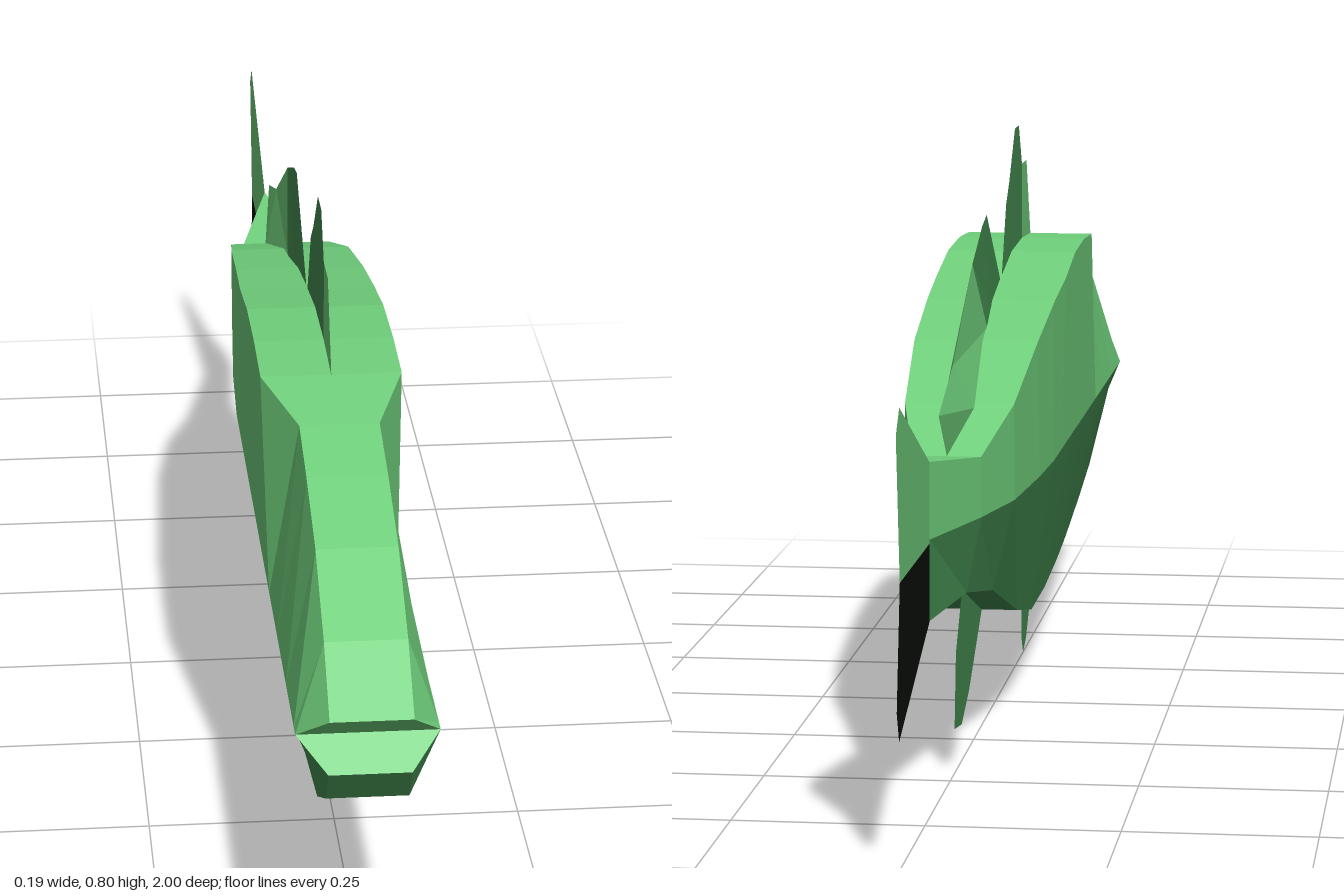
import * as THREE from 'three';

const lightGreen = new THREE.MeshStandardMaterial({ name: 'lightGreen', color: 0x70d07c, flatShading: true, side: THREE.DoubleSide });
const darkGreen = new THREE.MeshStandardMaterial({ name: 'darkGreen', color: 0x458e51, flatShading: true, side: THREE.DoubleSide });
const black = new THREE.MeshStandardMaterial({ name: 'black', color: 0x0b100c, flatShading: true, side: THREE.DoubleSide });

// Body sections, nose to tail: top z, y, half width; middle z, half width; bottom z, y, half width
const sections = [
  [1.0, 0.40, 0.052, 0.95, 0.09, 0.985, 0.32, 0.052],
  [0.92, 0.47, 0.052, 0.93, 0.09, 0.95, 0.27, 0.052],
  [0.80, 0.54, 0.052, 0.81, 0.09, 0.83, 0.21, 0.052],
  [0.67, 0.58, 0.052, 0.67, 0.09, 0.67, 0.185, 0.052],
  [0.56, 0.605, 0.052, 0.54, 0.09, 0.52, 0.165, 0.052],
  [0.44, 0.625, 0.093, 0.44, 0.09, 0.44, 0.155, 0.052],
  [0.33, 0.63, 0.093, 0.33, 0.09, 0.33, 0.145, 0.052],
  [0.20, 0.625, 0.093, 0.19, 0.09, 0.17, 0.135, 0.052],
  [0.07, 0.603, 0.093, 0.05, 0.09, 0.0, 0.135, 0.052],
  [-0.05, 0.585, 0.09, -0.06, 0.09, -0.08, 0.15, 0.052],
  [-0.22, 0.55, 0.085, -0.2, 0.085, -0.16, 0.165, 0.05],
  [-0.40, 0.49, 0.073, -0.39, 0.073, -0.38, 0.235, 0.042],
  [-0.53, 0.44, 0.045, -0.53, 0.045, -0.53, 0.26, 0.026],
  [-0.70, 0.46, 0, -0.70, 0, -0.70, 0.255, 0],
];
const MID_Y = 0.36;

// Six corners of a section, running down the left side and up the right
function ring([zt, yt, wt, zm, wm, zb, yb, wb]) {
  return [[wt, yt, zt], [wm, MID_Y, zm], [wb, yb, zb], [-wb, yb, zb], [-wm, MID_Y, zm], [-wt, yt, zt]];
}

// Mesh from four-cornered faces
function quadMesh(name, quads, material) {
  const positions = quads.flatMap(([a, b, c, d]) => [a, b, c, a, c, d].flat());
  const geometry = new THREE.BufferGeometry();
  geometry.setAttribute('position', new THREE.Float32BufferAttribute(positions, 3));
  geometry.computeVertexNormals();
  const mesh = new THREE.Mesh(geometry, material);
  mesh.name = name;
  return mesh;
}

// Flat fin on the centre plane, outlined by [z, y] points
function fin(name, outline, material) {
  const shape = new THREE.Shape(outline.map(([z, y]) => new THREE.Vector2(-z, y)));
  const mesh = new THREE.Mesh(new THREE.ShapeGeometry(shape).rotateY(Math.PI / 2), material);
  mesh.name = name;
  return mesh;
}

// Fin with a wider root: stations are root z, y, half width, then edge z, y
function thickFin(name, stations, material) {
  const quads = [];
  for (let i = 0; i < stations.length - 1; i++) {
    const [z0, y0, w0, ez0, ey0] = stations[i];
    const [z1, y1, w1, ez1, ey1] = stations[i + 1];
    quads.push([[0, ey0, ez0], [w0, y0, z0], [w1, y1, z1], [0, ey1, ez1]]);
    quads.push([[0, ey1, ez1], [-w1, y1, z1], [-w0, y0, z0], [0, ey0, ez0]]);
  }
  return quadMesh(name, quads, material);
}

export function createModel() {
  const model = new THREE.Group();
  model.name = 'fish';

  // Body: light back and flanks, dark belly
  const rings = sections.map(ring);
  const back = [], belly = [];
  for (let i = 0; i < rings.length - 1; i++) {
    for (let j = 0; j < 6; j++) {
      const k = (j + 1) % 6;
      const target = j >= 1 && j <= 3 ? belly : back;
      target.push([rings[i][j], rings[i][k], rings[i + 1][k], rings[i + 1][j]]);
    }
  }
  model.add(quadMesh('upperBody', back, lightGreen), quadMesh('lowerBody', belly, darkGreen));

  // Mouth: two lips meeting in a notch
  const n = rings[0];
  model.add(quadMesh('mouth', [[n[0], n[5], n[4], n[1]], [n[1], n[4], n[3], n[2]]], lightGreen));

  // Front dorsal fin
  model.add(
    fin('frontDorsalFinSpine', [[0.45, 0.61], [0.39, 0.74], [0.33, 0.74], [0.33, 0.61]], lightGreen),
    fin('frontDorsalFin', [[0.33, 0.61], [0.33, 0.74], [0.29, 0.80], [0.24, 0.80], [0.17, 0.73], [0.13, 0.70], [0.07, 0.59]], darkGreen),
  );

  // Rear dorsal fin
  const split = [-0.16, 0.56, 0.008, -0.26, 0.66];
  model.add(
    thickFin('rearDorsalFinFront', [[0.06, 0.59, 0, 0.06, 0.60], [-0.05, 0.58, 0.002, -0.1, 0.71], [-0.08, 0.575, 0.004, -0.15, 0.70], split], darkGreen),
    thickFin('rearDorsalFinBack', [split, [-0.40, 0.485, 0.022, -0.47, 0.55], [-0.53, 0.44, 0, -0.61, 0.505]], lightGreen),
  );

  // Fins under the belly
  model.add(
    fin('pelvicFin', [[0.52, 0.17], [0.43, 0.05], [0.39, 0.015], [0.35, 0], [0.33, 0.025], [0.335, 0.155]], darkGreen),
    fin('analFin', [[-0.15, 0.17], [-0.3, 0.08], [-0.38, 0.05], [-0.455, 0.06], [-0.44, 0.16], [-0.37, 0.24]], darkGreen),
  );

  // Tail fin
  model.add(
    fin('upperTailFin', [[-0.7, 0.355], [-0.7, 0.46], [-0.97, 0.57], [-1, 0.54], [-0.97, 0.355]], lightGreen),
    fin('lowerTailFin', [[-0.7, 0.355], [-0.97, 0.355], [-1, 0.2], [-0.98, 0.16], [-0.7, 0.255]], black),
  );
  return model;
}
